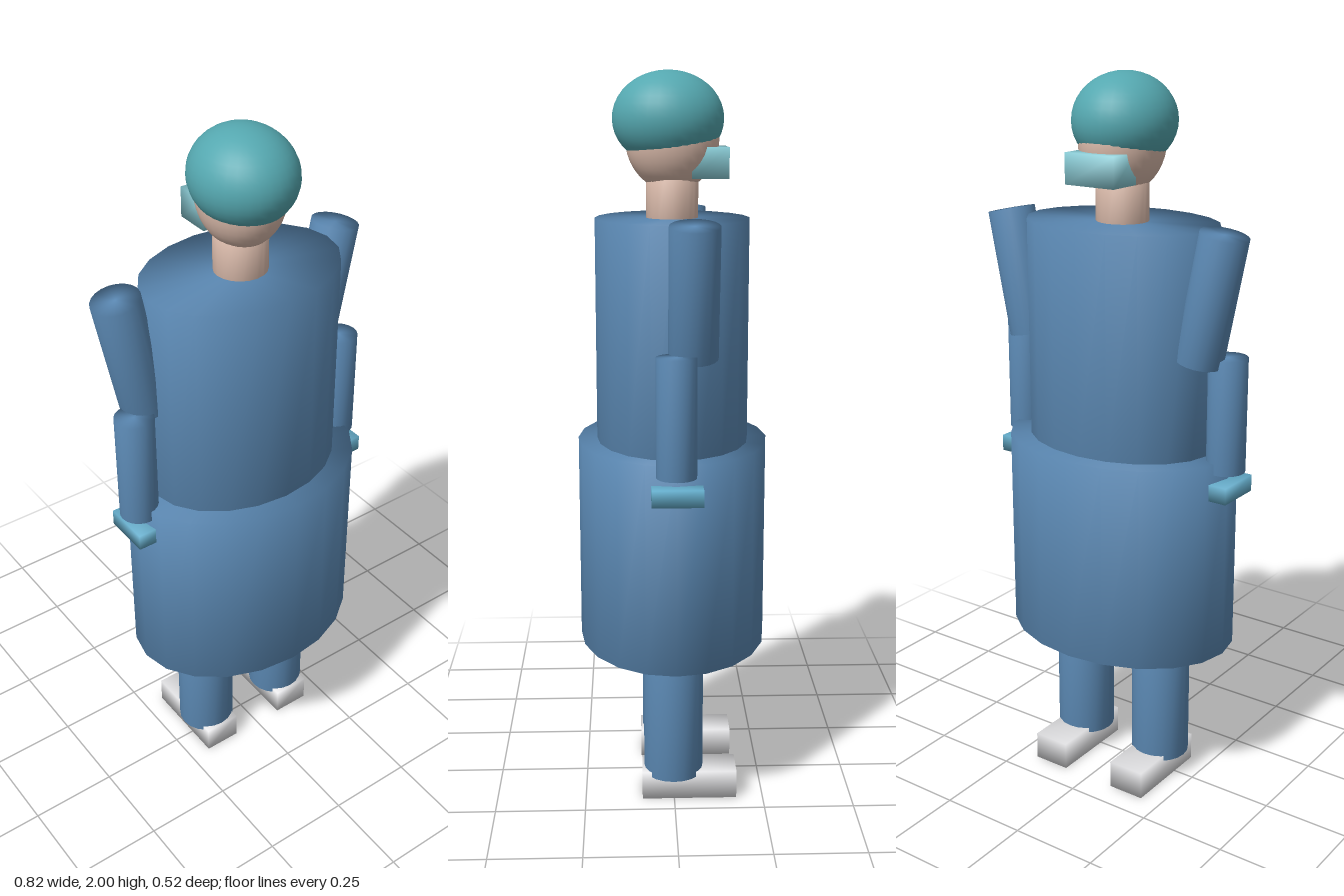
import * as THREE from 'three';
import { mergeVertices } from 'three/addons/utils/BufferGeometryUtils.js';

const material = (name, color) => {
  const m = new THREE.MeshStandardMaterial({ color });
  m.name = name;
  return m;
};

// Share the corners so shading flows softly over every edge
function soften(geometry) {
  geometry.deleteAttribute('normal');
  geometry.deleteAttribute('uv');
  const merged = mergeVertices(geometry, 1e-4);
  merged.computeVertexNormals();
  return merged;
}

export function createModel() {
  const group = new THREE.Group();
  const blue = material('gown blue', 0x5c8ab5);
  const teal = material('cap teal', 0x55a8b0);
  const skin = material('skin', 0xdcbcac);
  const aqua = material('mask aqua', 0x8accd6);
  const glove = material('glove blue', 0x64acca);
  const white = material('shoe white', 0xe2e2e4);

  const add = (name, geometry, mat, x, y, z) => {
    const mesh = new THREE.Mesh(geometry, mat);
    mesh.name = name;
    mesh.position.set(x, y, z);
    group.add(mesh);
    return mesh;
  };
  // Upright elliptical tube between two heights
  const tube = (name, mat, rx, rz, y0, y1, x = 0, z = 0) => {
    const g = new THREE.CylinderGeometry(1, 1, y1 - y0, 20).scale(rx, 1, rz);
    return add(name, soften(g), mat, x, (y0 + y1) / 2, z);
  };
  const box = (name, mat, w, h, d, x, y, z) =>
    add(name, soften(new THREE.BoxGeometry(w, h, d)), mat, x, y, z);
  const ellipsoid = (name, mat, rx, ry, rz, y, z) =>
    add(name, new THREE.SphereGeometry(1, 32, 20).scale(rx, ry, rz), mat, 0, y, z);

  // Body
  tube('gownSkirt', blue, 0.342, 0.261, 0.435, 1.01);
  tube('gownTorso', blue, 0.281, 0.209, 0.98, 1.615);
  tube('neck', skin, 0.072, 0.07, 1.58, 1.73);

  // Head, cap and mask; the face looks toward -z
  ellipsoid('head', skin, 0.112, 0.14, 0.126, 1.825, 0);
  ellipsoid('cap', teal, 0.136, 0.125, 0.149, 1.875, 0.011);
  box('faceMask', aqua, 0.154, 0.082, 0.098, 0, 1.761, -0.099);

  // Mirrored limbs
  for (const [side, s] of [['left', 1], ['right', -1]]) {
    tube(side + 'Leg', blue, 0.083, 0.083, 0.065, 0.5, s * 0.135, 0.001);
    box(side + 'Shoe', white, 0.108, 0.08, 0.265, s * 0.135, 0.04, -0.043);

    const upperArm = tube(side + 'UpperArm', blue, 0.065, 0.065, 1.277, 1.623, s * 0.31, -0.045);
    upperArm.rotation.z = -s * 0.2;
    tube(side + 'Forearm', blue, 0.053, 0.053, 0.98, 1.293, s * 0.337, 0);
    box(side + 'Hand', glove, 0.086, 0.046, 0.134, s * 0.337, 0.934, -0.002);
  }
  return group;
}
